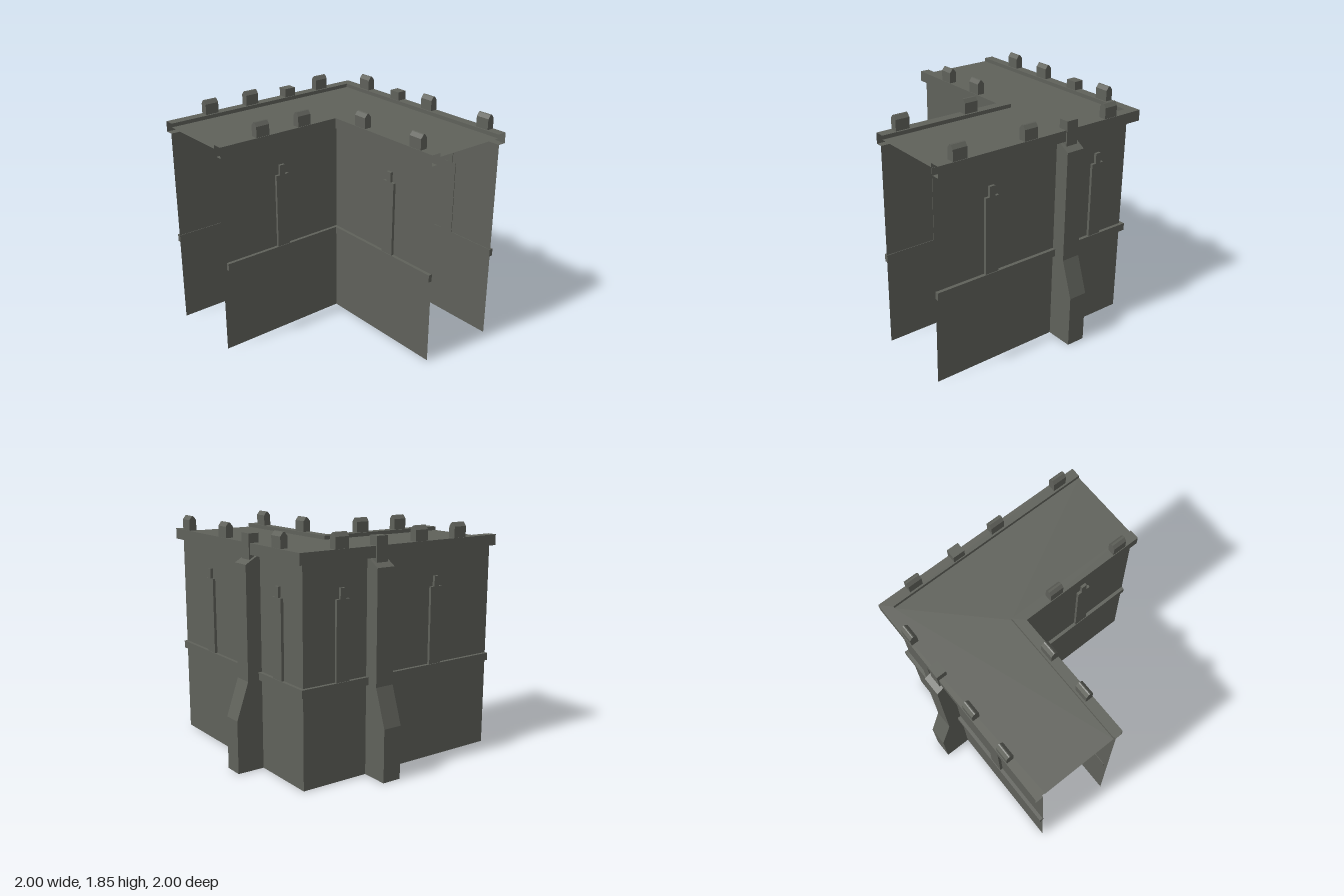
import * as THREE from 'three';

const stone = new THREE.MeshStandardMaterial({ color: 0x5f615a, side: THREE.DoubleSide });
stone.name = 'stone';

const OUTER = -0.78;   // plane of the outer walls
const INNER = -0.125;  // plane of the inner walls

export function createModel() {
  const root = new THREE.Group();
  root.name = 'castleWallCorner';

  const add = (name, geometry) => {
    const mesh = new THREE.Mesh(geometry, stone);
    mesh.name = name;
    root.add(mesh);
    return mesh;
  };

  // Open profile [across, y] swept around the L, mitred at the corner
  function sheet(name, profile) {
    const pos = [];
    const quad = (a, b, c, d) => pos.push(...a, ...b, ...c, ...a, ...c, ...d);
    // side = 1 for outer walls (facing away from the court), -1 for inner ones
    for (let i = 0; i < profile.length - 1; i++) {
      const [c0, y0] = profile[i], [c1, y1] = profile[i + 1];
      const rear = [[1, y0, c0], [c0, y0, c0], [c1, y1, c1], [1, y1, c1]];
      const left = [[c0, y0, c0], [c0, y0, 1], [c1, y1, 1], [c1, y1, c1]];
      if (c0 < -0.5) {
        quad(...rear);
        quad(...left);
      } else {
        quad(...rear.reverse());
        quad(...left.reverse());
      }
    }
    const g = new THREE.BufferGeometry();
    g.setAttribute('position', new THREE.Float32BufferAttribute(pos, 3));
    g.computeVertexNormals();
    return add(name, g);
  }

  // Profile [across, y] extruded from a0 to a1 along the rear or left wing
  function prism(name, wing, profile, a0, a1, openBottom = false) {
    let g = new THREE.ExtrudeGeometry(
      new THREE.Shape(profile.map(([c, y]) => new THREE.Vector2(c, y))),
      { depth: a1 - a0, bevelEnabled: false });
    g.translate(0, 0, -(a1 - a0) / 2);
    if (openBottom) {
      const p = g.attributes.position, kept = [];
      for (let i = 0; i < p.count; i += 3) {
        if (Math.max(p.getY(i), p.getY(i + 1), p.getY(i + 2)) < 1e-5) continue;
        for (let k = i; k < i + 3; k++) kept.push(p.getX(k), p.getY(k), p.getZ(k));
      }
      g = new THREE.BufferGeometry();
      g.setAttribute('position', new THREE.Float32BufferAttribute(kept, 3));
      g.computeVertexNormals();
    }
    const mid = (a0 + a1) / 2;
    if (wing === 'rear') g.rotateY(-Math.PI / 2).translate(mid, 0, 0);
    else g.translate(0, 0, mid);
    return add(name, g);
  }

  const rect = (c0, c1, y0, y1) => [[c0, y0], [c1, y0], [c1, y1], [c0, y1]];

  // Walls and overhanging parapets
  sheet('outerWall', [[OUTER, 0], [OUTER, 1.645]]);
  sheet('innerWall', [[INNER, 0], [INNER, 1.645]]);
  sheet('outerParapet', [[OUTER, 1.645], [-0.845, 1.645], [-0.845, 1.73], [-0.765, 1.73], [-0.765, 1.7]]);
  sheet('innerParapet', [[INNER, 1.645], [-0.07, 1.645], [-0.07, 1.73], [-0.15, 1.73], [-0.15, 1.7]]);

  // L-shaped walkway between the parapets
  const deck = new THREE.Shape([[-0.765, -1], [-0.15, -1], [-0.15, 0.15], [1, 0.15], [1, 0.765], [-0.765, 0.765]]
    .map(([x, y]) => new THREE.Vector2(x, y)));
  add('walkway', new THREE.ShapeGeometry(deck).rotateX(-Math.PI / 2).translate(0, 1.7, 0));

  // Pointed merlon centred across the parapet
  const merlon = (wing, c, a) => prism('merlon', wing, [
    [c - 0.03, 1.73], [c + 0.03, 1.73], [c + 0.03, 1.815], [c + 0.008, 1.843],
    [c, 1.847], [c - 0.008, 1.843], [c - 0.03, 1.815]], a - 0.058, a + 0.058);

  // Raised slit window with a narrow head; out = outward direction
  function windowPanel(wing, plane, out, a) {
    const c = [plane - out * 0.005, plane + out * 0.022].sort((p, q) => p - q);
    prism('windowPanel', wing, rect(...c, 0.765, 1.37), a - 0.057, a + 0.057);
    prism('windowHead', wing, rect(...c, 1.37, 1.45), a - 0.023, a + 0.023);
  }

  const wings = [
    { wing: 'rear', end: 1, buttress: -0.152, outerMerlons: [-0.545, 0.217, 0.82], innerMerlons: [0.217, 0.82],
      outerWindows: [-0.48, 0.522], innerWindows: [0.522] },
    { wing: 'left', end: 0.965, buttress: -0.147, outerMerlons: [-0.49, 0.235, 0.62], innerMerlons: [0.235, 0.62],
      outerWindows: [-0.45, 0.432], innerWindows: [0.432] },
  ];

  for (const w of wings) {
    w.outerMerlons.forEach(a => merlon(w.wing, -0.81, a));
    w.innerMerlons.forEach(a => merlon(w.wing, -0.105, a));
    w.outerWindows.forEach(a => windowPanel(w.wing, OUTER, -1, a));
    w.innerWindows.forEach(a => windowPanel(w.wing, INNER, 1, a));

    // Ledges running along the walls
    prism('outerLedge', w.wing, rect(-0.808, -0.775, 0.705, 0.765), -0.808, 1);
    prism('innerLedge', w.wing, rect(-0.13, -0.098, 0.705, 0.765), -0.125, w.end);

    // Stepped buttress with a small pier rising through the parapet
    prism('buttress', w.wing, [[-1, 0], [-0.781, 0], [-0.781, 1.65], [-0.9, 1.58], [-0.9, 0.705], [-1, 0.415]],
      w.buttress - 0.077, w.buttress + 0.077, true);
    prism('buttressPier', w.wing, rect(-0.855, -0.773, 1.61, 1.8), w.buttress - 0.05, w.buttress + 0.05);
  }

  return root;
}
